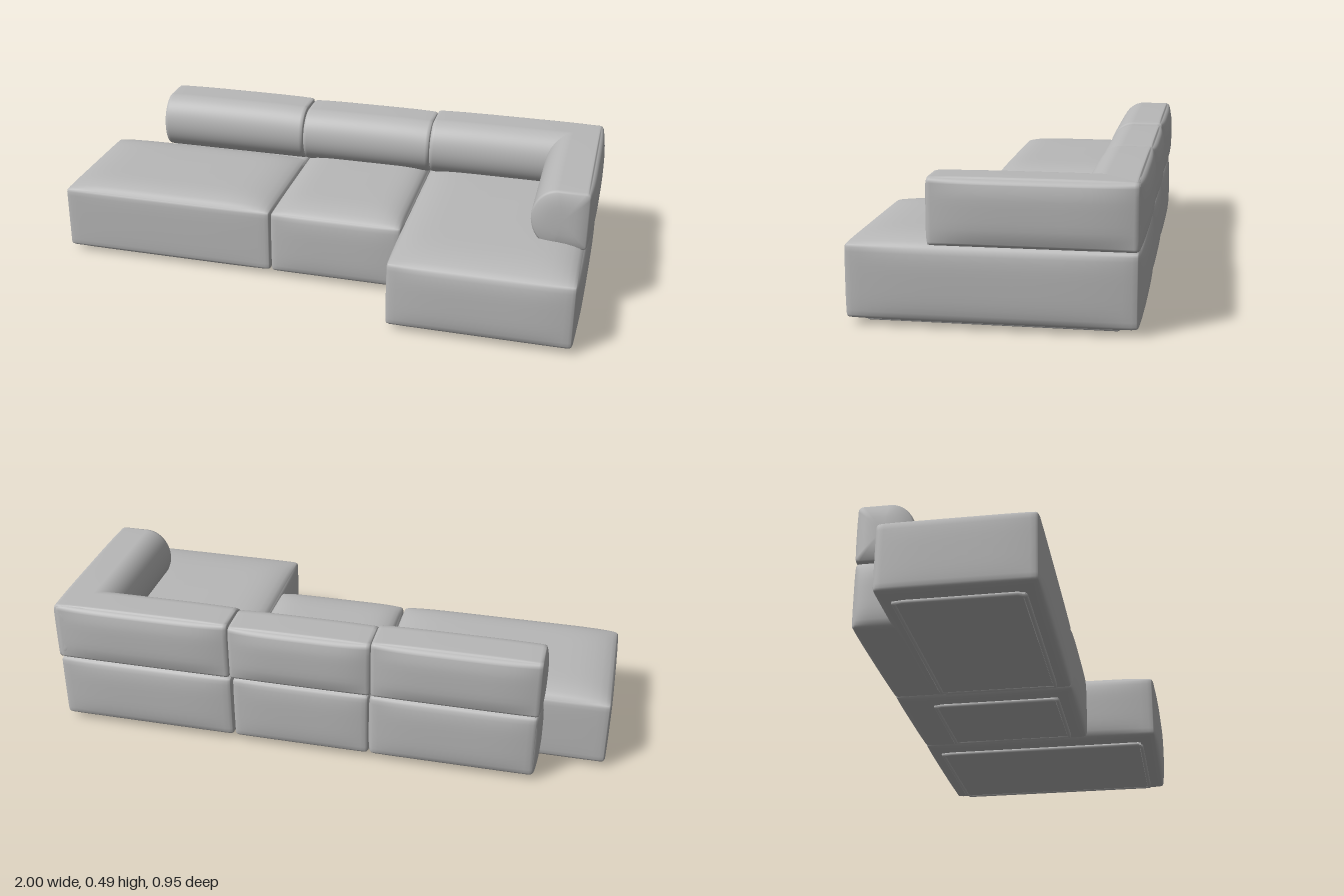
import * as THREE from 'three';
import { mergeVertices } from 'three/addons/utils/BufferGeometryUtils.js';

const fabric = new THREE.MeshStandardMaterial({ color: 0xb8b8b8 });
fabric.name = 'grey fabric';

function smooth(geo) {
  geo.deleteAttribute('normal');
  geo.deleteAttribute('uv');
  const merged = mergeVertices(geo, 1e-5);
  merged.computeVertexNormals();
  return merged;
}

function add(parent, name, geometry) {
  const mesh = new THREE.Mesh(geometry, fabric);
  mesh.name = name;
  parent.add(mesh);
  return mesh;
}

// Upholstered block: rounded box whose faces swell away from their seams.
function cushion([x0, x1], [y0, y1], [z0, z1], { side = 0.012, top = 0.03, bottom = 0.01, r = 0.014 } = {}) {
  const half = [(x1 - x0) / 2, (y1 - y0) / 2, (z1 - z0) / 2];
  const geo = new THREE.BoxGeometry(2, 2, 2, 20, 14, 20);
  const pos = geo.attributes.position;
  const swell = (a, b, n) => (1 - Math.abs(a) ** n) * (1 - Math.abs(b) ** n);
  for (let i = 0; i < pos.count; i++) {
    // crowd the grid towards the edges
    const u = [pos.getX(i), pos.getY(i), pos.getZ(i)].map(v => Math.sin(v * Math.PI / 2));
    const p = u.map((v, k) => v * half[k]);
    const core = p.map((v, k) => THREE.MathUtils.clamp(v, r - half[k], half[k] - r));
    const d = new THREE.Vector3(p[0] - core[0], p[1] - core[1], p[2] - core[2]).setLength(r);
    const out = [core[0] + d.x, core[1] + d.y, core[2] + d.z];
    if (Math.abs(u[0]) > 0.9999) out[0] += Math.sign(u[0]) * side * swell(u[1], u[2], 4);
    if (Math.abs(u[2]) > 0.9999) out[2] += Math.sign(u[2]) * side * swell(u[0], u[1], 4);
    if (u[1] > 0.9999) out[1] += top * swell(u[0], u[2], 7);
    if (u[1] < -0.9999) out[1] -= bottom * swell(u[0], u[2], 7);
    pos.setXYZ(i, ...out);
  }
  geo.translate((x0 + x1) / 2, (y0 + y1) / 2, (z0 + z1) / 2);
  return smooth(geo);
}

// Bolster: flat back, half-round front, softly domed ends; runs along z.
function bolster(length, top) {
  const y0 = 0.267, h = top - y0, depth = 0.2, r = h / 2;
  const shape = new THREE.Shape();
  shape.moveTo(0.012, y0);
  shape.lineTo(depth - 0.09, y0);
  shape.absellipse(depth - 0.09, y0 + r, 0.09, r, -Math.PI / 2, Math.PI / 2, false);
  shape.lineTo(0.018, top);
  shape.quadraticCurveTo(0, top, 0, top - 0.018);
  for (let i = 1; i < 8; i++) shape.lineTo(0, top - 0.018 - (h - 0.03) * i / 8);
  shape.lineTo(0, y0 + 0.012);
  shape.quadraticCurveTo(0, y0, 0.012, y0);
  const prof = shape.getPoints(16).filter((p, i, a) => i === 0 || p.distanceTo(a[i - 1]) > 1e-4);
  if (prof[0].distanceTo(prof[prof.length - 1]) < 1e-4) prof.pop();

  // cross-section rows: [scale, position along the length]
  const half = length / 2;
  const cap = [0.001, 0.25, 0.5, 0.7, 0.85, 0.94, 0.985].map(k => [k, half - 0.006 + 0.014 * (1 - k ** 4)]);
  const rows = cap.map(([k, z]) => [k, -z]);
  for (let i = 0; i <= 20; i++) rows.push([1, (half - 0.014) * Math.sin((i / 10 - 1) * Math.PI / 2)]);
  rows.push(...cap.reverse());

  const verts = [], index = [], n = prof.length, c = new THREE.Vector2(0.09, y0 + r);
  rows.forEach(([k, z], i) => {
    const along = 1 - Math.min(1, Math.abs(z) / half) ** 4;
    prof.forEach((p, j) => {
      const v = (p.y - c.y) / r;
      const back = p.x < 0.01 ? 0.018 * (1 - v ** 4) * along : 0;
      const crown = p.x >= 0.01 && v > 0 ? 0.004 * v * along : 0;
      verts.push(c.x + (p.x - c.x) * k - back * k, c.y + (p.y - c.y) * k + crown * k, z);
      if (i < rows.length - 1) {
        const a = i * n + j, b = i * n + (j + 1) % n;
        index.push(a, b, a + n, b, b + n, a + n);
      }
    });
  });
  const geo = new THREE.BufferGeometry();
  geo.setAttribute('position', new THREE.Float32BufferAttribute(verts, 3));
  geo.setIndex(index);
  geo.computeVertexNormals();
  return geo;
}

// Underside panel with a raised welt around it.
function underside(parent, [x0, x1], [z0, z1]) {
  const w = x1 - x0, d = z1 - z0, cx = (x0 + x1) / 2, cz = (z0 + z1) / 2;
  const group = new THREE.Group();
  group.name = 'underside';
  group.position.set(cx, 0, cz);
  parent.add(group);
  add(group, 'basePanel', new THREE.BoxGeometry(w, 0.009, d)).position.y = 0.0095;
  const corners = [[-1, -1], [1, -1], [1, 1], [-1, 1]].map(([sx, sz]) => new THREE.Vector3(sx * w / 2, 0.008, sz * d / 2));
  const path = new THREE.CurvePath();
  corners.forEach((p, i) => path.add(new THREE.LineCurve3(p, corners[(i + 1) % 4])));
  add(group, 'baseWelt', new THREE.TubeGeometry(path, 80, 0.008, 8, true));
}

export function createModel() {
  const sofa = new THREE.Group();
  sofa.name = 'sectionalSofa';
  const height = [0.022, 0.264];

  // Seat modules
  const seats = [
    ['rightSeat', [-0.998, -0.178], [-0.325, 0.193], [-0.94, -0.235], [-0.27, 0.14], 0.004],
    ['middleSeat', [-0.174, 0.321], [-0.458, 0.193], [-0.11, 0.26], [-0.32, 0.13], 0.01],
    ['chaiseSeat', [0.325, 0.973], [-0.458, 0.46], [0.39, 0.91], [-0.4, 0.4], 0.013],
  ];
  for (const [name, x, z, panelX, panelZ, side] of seats) {
    const module = new THREE.Group();
    module.name = name;
    sofa.add(module);
    add(module, name + 'Cushion', cushion(x, height, z, { side }));
    underside(module, panelX, panelZ);
  }
  // Rear extension carrying the end of the backrest
  add(sofa, 'backrestBase', cushion([-0.76, -0.178], height, [-0.458, -0.25], { top: 0.004, bottom: 0.004 }));

  // Backrest bolsters
  const backs = [['rightBackrest', -0.765, -0.178, 0.481], ['middleBackrest', -0.18, 0.332, 0.474], ['leftBackrest', 0.33, 0.972, 0.481]];
  for (const [name, x0, x1, top] of backs) {
    const mesh = add(sofa, name, bolster(x1 - x0, top));
    mesh.rotation.y = -Math.PI / 2;
    mesh.position.set((x0 + x1) / 2, 0, -0.458);
  }

  // Armrest bolster along the chaise
  const arm = add(sofa, 'armrest', bolster(0.655, 0.481));
  arm.rotation.y = Math.PI;
  arm.position.set(0.978, 0, -0.13);
  return sofa;
}
